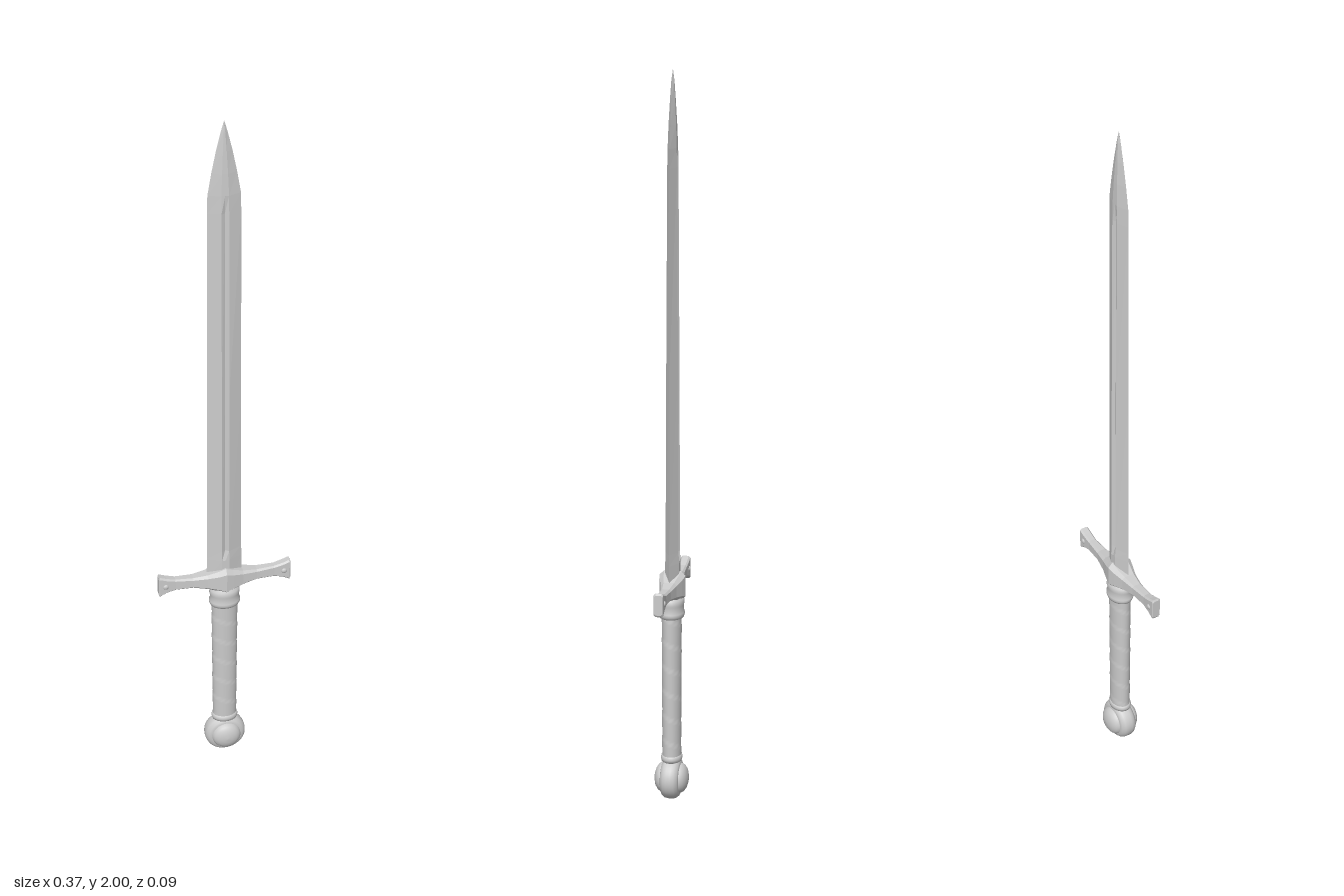
import * as THREE from 'three';

const steel = new THREE.MeshStandardMaterial({ color: 0xcccccc, flatShading: true });
const smooth = new THREE.MeshStandardMaterial({ color: 0xcccccc });

// Skins a list of equal-length rings (counter-clockwise about the sweep axis) and caps both ends
function loft(rings) {
  const n = rings[0].length, idx = [];
  for (let i = 0; i < rings.length - 1; i++) {
    for (let j = 0; j < n; j++) {
      const a = i * n + j, b = i * n + (j + 1) % n;
      idx.push(a, b, b + n, a, b + n, a + n);
    }
  }
  const last = (rings.length - 1) * n;
  for (let j = 1; j < n - 1; j++) idx.push(0, j + 1, j, last, last + j, last + j + 1);
  const g = new THREE.BufferGeometry();
  g.setAttribute('position', new THREE.Float32BufferAttribute(rings.flat(2), 3));
  g.setIndex(idx);
  g.computeVertexNormals();
  return g;
}

function add(parent, name, geometry, material, x = 0, y = 0, z = 0) {
  const m = new THREE.Mesh(geometry, material);
  m.name = name;
  m.position.set(x, y, z);
  parent.add(m);
  return m;
}

const lathe = (pts, seg = 32) =>
  new THREE.LatheGeometry(pts.map(([r, y]) => new THREE.Vector2(r, y)), seg);

// Double-edged blade with a narrow fuller that fades out below the point
function bladeGeometry() {
  // y, half width, half thickness, fuller depth
  const rows = [
    [0.61, 0.05, 0.019, 0], [0.68, 0.049, 0.019, 0], [0.71, 0.048, 0.018, 0.007],
    [1.2, 0.046, 0.016, 0.006], [1.75, 0.044, 0.013, 0.005], [1.8, 0.043, 0.012, 0],
    [1.86, 0.033, 0.010, 0], [1.92, 0.021, 0.007, 0], [1.97, 0.009, 0.004, 0], [2, 0.0005, 0.0005, 0],
  ];
  return loft(rows.map(([y, w, t, d]) => {
    const s = Math.min(0.01, w * 0.23), f = t - d;
    return [[0, f], [s, t], [w, 0], [s, -t], [0, -f], [-s, -t], [-w, 0], [-s, t]]
      .map(([x, z]) => [x, y, z]);
  }));
}

// Crossguard swept along x: pointed centre block, slim arms, flared ends
function guardGeometry() {
  // x, top, bottom, half depth
  const half = [
    [0, 0.655, 0.572, 0.036], [0.02, 0.646, 0.58, 0.031], [0.05, 0.635, 0.588, 0.022],
    [0.09, 0.629, 0.596, 0.015], [0.14, 0.631, 0.596, 0.012], [0.165, 0.638, 0.59, 0.013],
    [0.184, 0.645, 0.58, 0.013], [0.187, 0.64, 0.585, 0.011],
  ];
  const rows = [...half.slice(1).reverse().map(([x, ...r]) => [-x, ...r]), ...half];
  return loft(rows.map(([x, top, bot, d]) => {
    const b = d * 0.35;
    return [[top, -d + b], [top, d - b], [top - b, d], [bot + b, d],
      [bot, d - b], [bot, -d + b], [bot + b, -d], [top - b, -d]].map(([y, z]) => [x, y, z]);
  }));
}

// Oval grip with a shallow spiral of overlapping wrap
function gripGeometry() {
  const rings = [], seg = 32, steps = 72;
  for (let i = 0; i <= steps; i++) {
    const t = i / steps, ring = [];
    for (let j = 0; j < seg; j++) {
      const a = (j / seg) * Math.PI * 2;
      const turn = t * 6 + j / seg;
      const k = 0.975 + 0.04 * (turn - Math.floor(turn));
      ring.push([Math.sin(a) * (0.034 + 0.003 * t) * k, 0.115 + 0.425 * t,
        Math.cos(a) * (0.026 + 0.001 * t) * k]);
    }
    rings.push(ring);
  }
  return loft(rings);
}

export function createModel() {
  const sword = new THREE.Group();
  sword.name = 'sword';

  add(sword, 'blade', bladeGeometry(), steel, 0, 0, -0.003);
  add(sword, 'crossguard', guardGeometry(), steel, 0, 0, -0.002);

  // Rivets on both faces of the guard ends
  for (const sx of [-1, 1]) {
    for (const sz of [-1, 1]) {
      const rivet = add(sword, 'guardRivet', new THREE.SphereGeometry(0.008, 12, 8), smooth,
        sx * 0.168, 0.613, -0.002 + sz * 0.012);
      rivet.scale.z = 0.6;
    }
  }

  add(sword, 'grip', gripGeometry(), smooth);

  // Banded collar under the guard and a thin ring above the pommel
  const collar = add(sword, 'collar', lathe([
    [0.034, 0.524], [0.041, 0.526], [0.044, 0.533], [0.044, 0.54], [0.041, 0.545],
    [0.041, 0.56], [0.043, 0.565], [0.042, 0.578], [0.03, 0.588]]), smooth);
  collar.scale.z = 0.8;
  const ring = add(sword, 'gripRing', lathe([
    [0.028, 0.108], [0.036, 0.112], [0.038, 0.12], [0.036, 0.128], [0.03, 0.13]]), smooth);
  ring.scale.z = 0.78;

  // Wheel pommel with a domed boss on each face
  const pommel = new THREE.Group();
  pommel.name = 'pommel';
  pommel.position.set(0, 0.059, 0);
  sword.add(pommel);
  const wheel = add(pommel, 'pommelWheel', lathe([
    [0, -0.026], [0.04, -0.026], [0.05, -0.023], [0.057, -0.015], [0.059, -0.006],
    [0.059, 0.006], [0.057, 0.015], [0.05, 0.023], [0.04, 0.026], [0, 0.026]], 40), smooth);
  wheel.rotation.x = Math.PI / 2;
  for (const s of [-1, 1]) {
    const boss = add(pommel, 'pommelBoss', lathe([
      [0.042, 0.022], [0.041, 0.029], [0.036, 0.036], [0.027, 0.042], [0.014, 0.046], [0, 0.047]]), smooth);
    boss.rotation.x = s * Math.PI / 2;
  }
  return sword;
}
